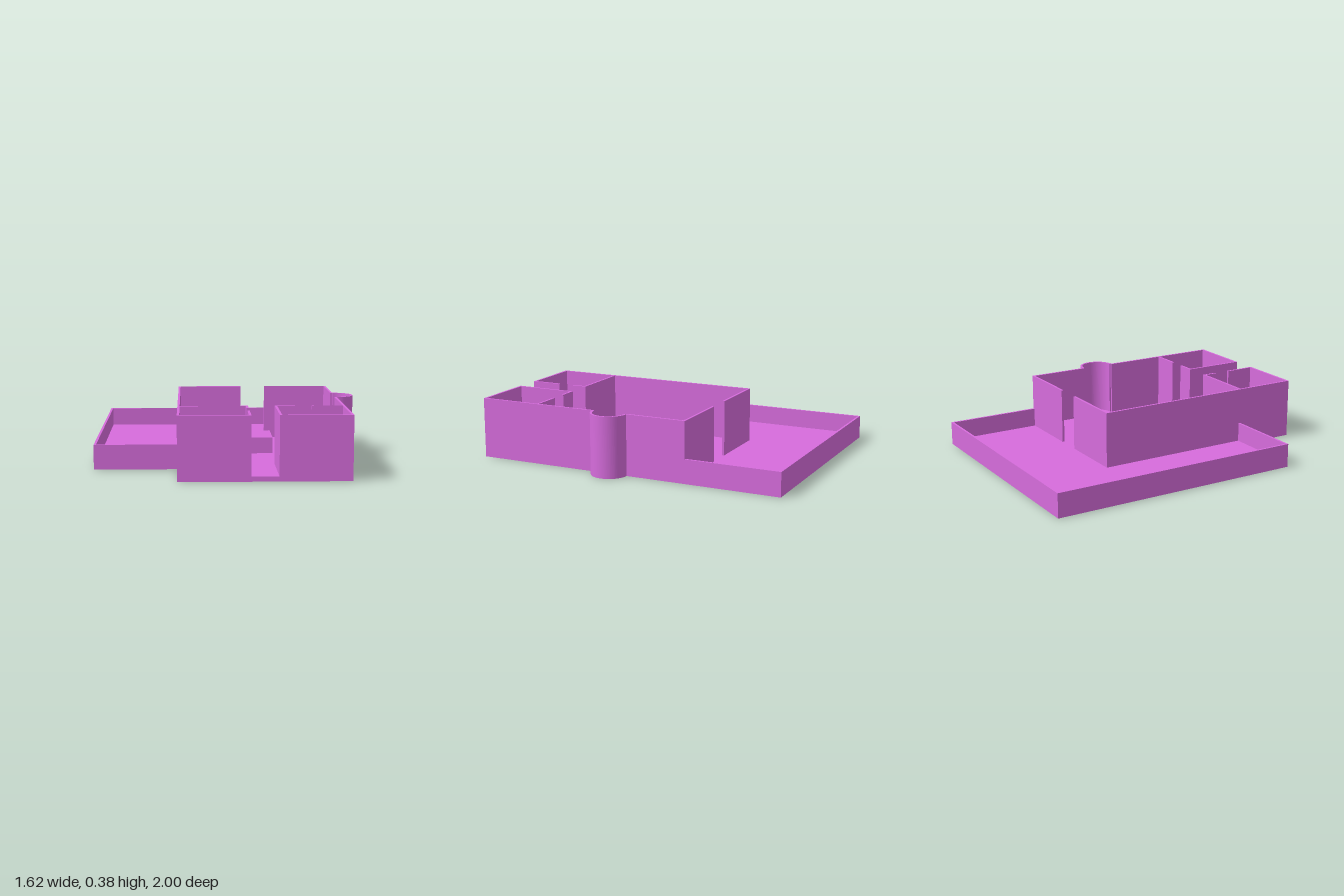
import * as THREE from 'three';

const FLOOR = 0.03, LOW = 0.15, HIGH = 0.38, T = 0.014;
const BAY = { x: 0.69, z: 0.1, r: 0.115 };

export function createModel() {
  const group = new THREE.Group();
  const material = new THREE.MeshStandardMaterial({ color: 0xd66cdc });

  const add = (name, geometry) => {
    const mesh = new THREE.Mesh(geometry, material);
    mesh.name = name;
    group.add(mesh);
  };
  // Block given by its plan extents and its height range
  const block = (name, x0, x1, z0, z1, top, bottom = FLOOR) => {
    const g = new THREE.BoxGeometry(x1 - x0, top - bottom, z1 - z0);
    add(name, g.translate((x0 + x1) / 2, (top + bottom) / 2, (z0 + z1) / 2));
  };
  // Plan shape (drawn with y = -z) raised from one level to another
  const raise = (name, shape, bottom, top) => {
    const g = new THREE.ExtrudeGeometry(shape, { depth: top - bottom, bevelEnabled: false, curveSegments: 24 });
    add(name, g.rotateX(-Math.PI / 2).translate(0, bottom, 0));
  };

  // L-shaped floor slab with the round bay
  const plan = new THREE.Shape();
  plan.moveTo(-0.81, -0.61);
  plan.lineTo(-0.31, -0.61);
  plan.lineTo(-0.31, -1);
  plan.lineTo(0.69, -1);
  plan.absarc(BAY.x, -BAY.z, BAY.r, -Math.PI / 2, Math.PI / 2, false);
  plan.lineTo(0.69, 1);
  plan.lineTo(-0.81, 1);
  plan.closePath();
  raise('floor', plan, 0, FLOOR);

  // Low walls around the yard
  block('yardBackWall', -0.81, 0.69, -1, -1 + T, LOW);
  block('yardRightWall', -0.81, -0.81 + T, -1 + T, 0.61, LOW);
  block('yardLeftWall', 0.69 - T, 0.69, -1 + T, -0.4, LOW);
  block('yardFrontWall', -0.81 + T, -0.31, 0.61 - T, 0.61, LOW);

  // Outer house walls, with openings at the front, back and bay
  block('houseRightWall', -0.31, -0.31 + T, -0.4, 1, HIGH);
  for (const [z0, z1] of [[-0.4, -0.01], [0.21, 1]]) {
    block('houseLeftWall', 0.69 - T, 0.69, z0, z1, HIGH);
  }
  for (const z of [-0.4, 1 - T]) {
    block('crossWall', -0.31 + T, 0.11, z, z + T, HIGH);
    block('crossWall', 0.27, 0.69 - T, z, z + T, HIGH);
  }

  // Walls of the two front rooms, with their doorways
  for (const [x0, x1] of [[-0.31 + T, 0.11], [0.27, 0.39], [0.49, 0.69 - T]]) {
    block('roomBackWall', x0, x1, 0.6, 0.6 + T, HIGH);
  }
  block('corridorRightWall', 0.11 - T, 0.11, 0.6 + T, 0.695, HIGH);
  block('corridorRightWall', 0.11 - T, 0.11, 0.8, 1 - T, HIGH);
  block('corridorLeftWall', 0.27, 0.27 + T, 0.6 + T, 1 - T, HIGH);

  // Curved bay wall, open towards the hall
  const ring = new THREE.Shape();
  ring.absarc(BAY.x, -BAY.z, BAY.r, -Math.PI / 2, Math.PI / 2, false);
  ring.absarc(BAY.x, -BAY.z, BAY.r - T, Math.PI / 2, -Math.PI / 2, true);
  ring.closePath();
  raise('bayWall', ring, FLOOR, HIGH);

  // Low block in the middle of the hall
  block('hallPlatform', 0.09, 0.285, -0.045, 0.25, 0.13);

  return group;
}
